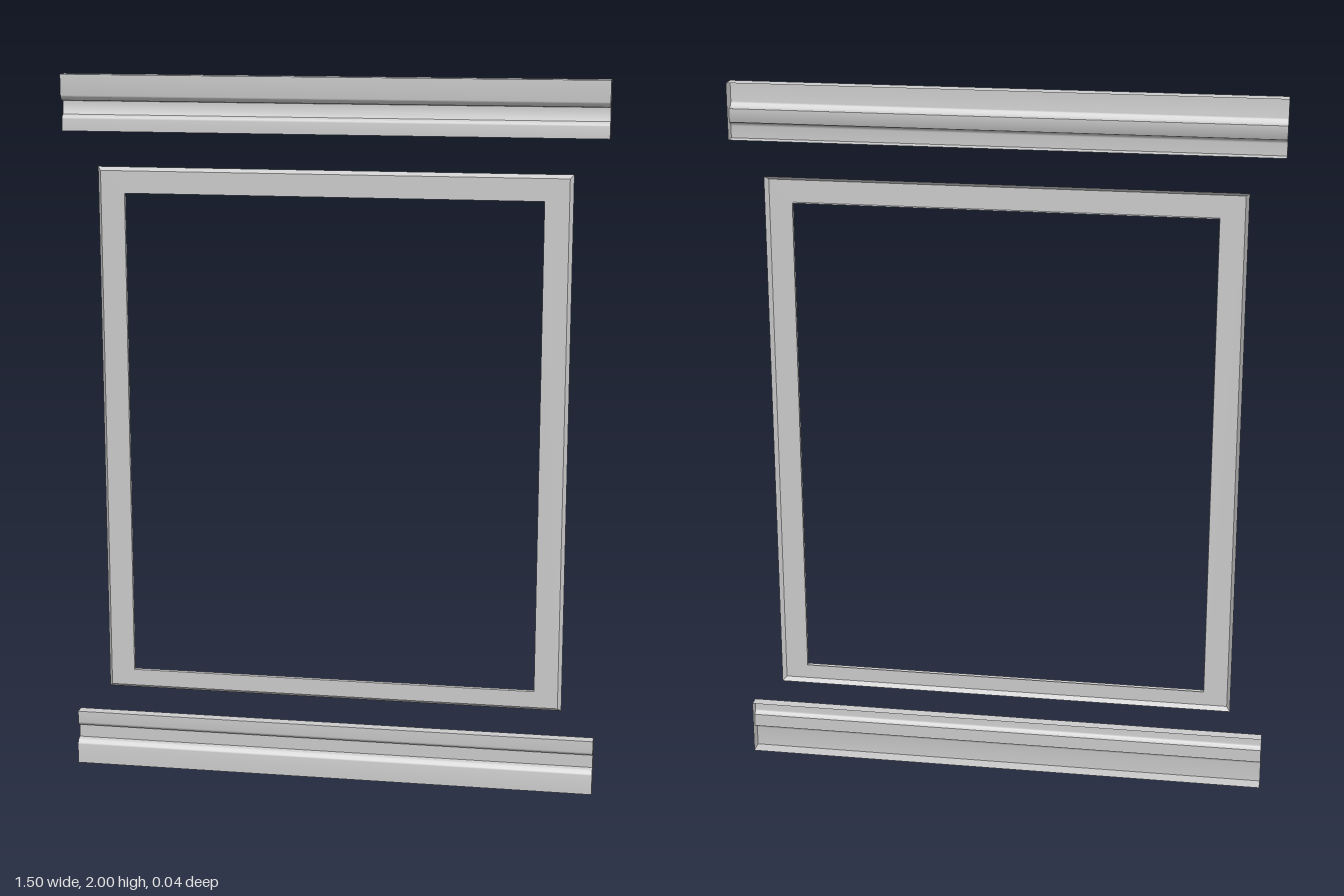
import * as THREE from 'three';
import { toCreasedNormals } from 'three/addons/utils/BufferGeometryUtils.js';

const material = new THREE.MeshStandardMaterial({ color: 0xcccccc, side: THREE.DoubleSide });

// Surface through equal-length rows of points, creased at sharp edges
function loft(rows) {
  const n = rows[0].length;
  const index = [];
  for (let i = 0; i < rows.length - 1; i++) {
    for (let j = 0; j < n - 1; j++) {
      const a = i * n + j, b = a + 1, c = a + n, d = c + 1;
      index.push(a, b, d, a, d, c);
    }
  }
  const geometry = new THREE.BufferGeometry().setFromPoints(rows.flat());
  geometry.setIndex(index);
  return toCreasedNormals(geometry, 0.6);
}

function addMesh(parent, name, geometry) {
  const mesh = new THREE.Mesh(geometry, material);
  mesh.name = name;
  parent.add(mesh);
}

// Moulding section as (z, y), from the upper back edge round the front to the lower back edge
function mouldingProfile() {
  const path = new THREE.Path();
  path.moveTo(-0.021, 0.155);
  path.lineTo(0.011, 0.155);
  path.lineTo(0.011, 0.126);
  path.quadraticCurveTo(0.011, 0.112, -0.002, 0.11);
  path.lineTo(-0.002, 0.073);
  path.quadraticCurveTo(0.021, 0.072, 0.021, 0.052);
  path.lineTo(0.021, 0);
  path.lineTo(-0.021, 0);
  return path.getPoints(8);
}

// Open-backed moulding with a flat cap at each end
function moulding(name, profile, halfLength) {
  const group = new THREE.Group();
  group.name = name;
  const row = x => profile.map(p => new THREE.Vector3(x, p.y, p.x));
  addMesh(group, 'mouldingFace', loft([row(-halfLength), row(halfLength)]));
  for (const side of [-1, 1]) {
    const shape = new THREE.Shape(profile.map(p => new THREE.Vector2(-side * p.x, p.y)));
    const cap = new THREE.ShapeGeometry(shape);
    cap.rotateY(side * Math.PI / 2).translate(side * halfLength, 0, 0);
    addMesh(group, 'endCap', cap);
  }
  return group;
}

// Closed rectangular loop of points, counterclockwise from the front
function rectangle(halfWidth, bottom, top, z) {
  const corners = [[-1, bottom], [1, bottom], [1, top], [-1, top], [-1, bottom]];
  return corners.map(([s, y]) => new THREE.Vector3(s * halfWidth, y, z));
}

export function createModel() {
  const model = new THREE.Group();
  model.name = 'panelMouldings';

  // Lower moulding, and the same section upside down above
  const lower = mouldingProfile();
  const upper = lower.map(p => new THREE.Vector2(p.x, 2 - p.y)).reverse();
  model.add(moulding('lowerMoulding', lower, 0.75));
  model.add(moulding('upperMoulding', upper, 0.75));

  // Thin frame: bevelled outer edge, flat face, inner return
  addMesh(model, 'panelFrame', loft([
    rectangle(0.657, 0.233, 1.747, -0.013),
    rectangle(0.647, 0.243, 1.737, 0),
    rectangle(0.58, 0.29, 1.675, 0),
    rectangle(0.58, 0.29, 1.675, -0.013),
  ]));
  return model;
}
